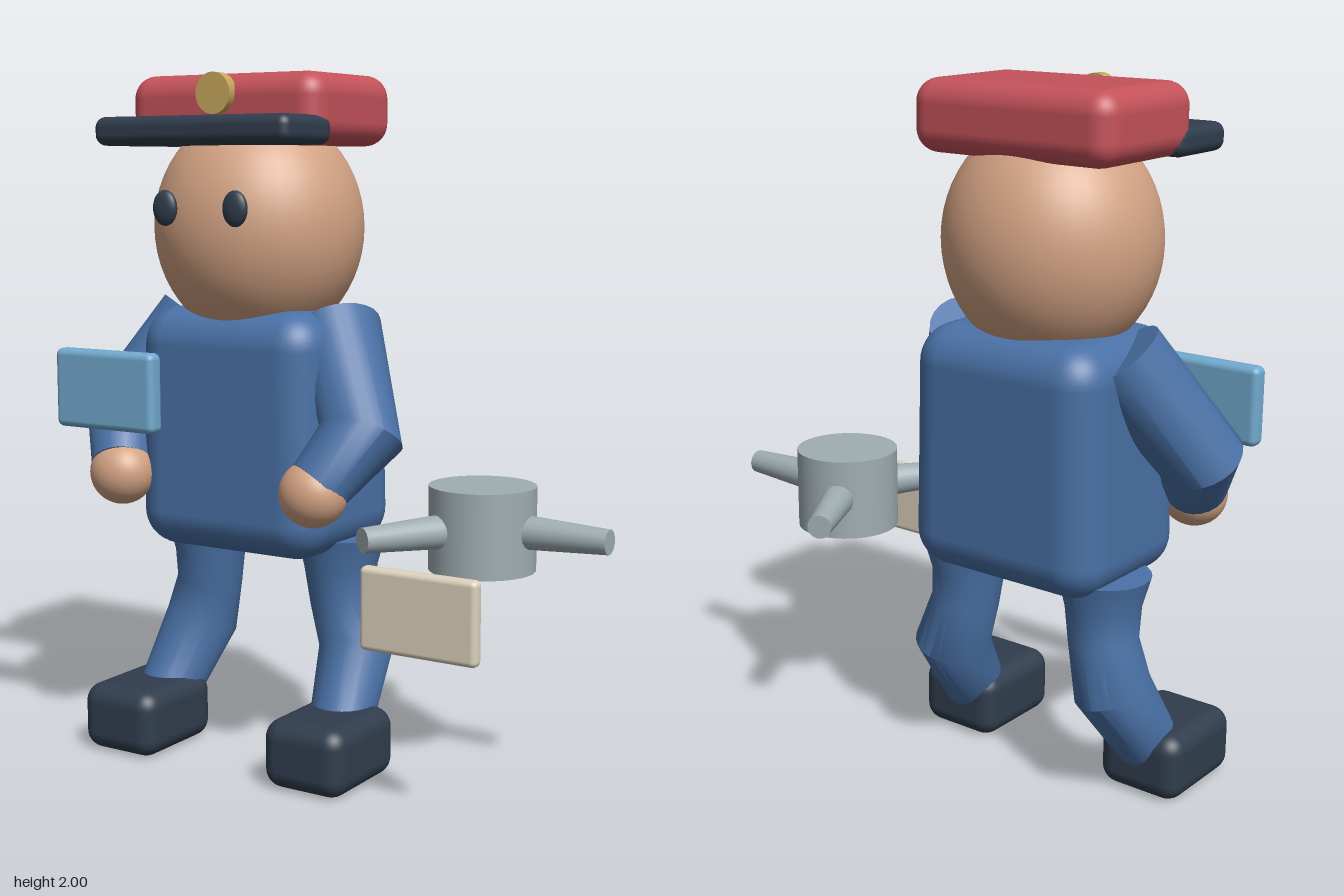
import * as THREE from 'three';
import { toCreasedNormals } from 'three/addons/utils/BufferGeometryUtils.js';
import { RoundedBoxGeometry } from 'three/addons/geometries/RoundedBoxGeometry.js';

const paint = (name, color) => {
  const m = new THREE.MeshStandardMaterial({ color });
  m.name = name;
  return m;
};

// Capped limb with round cross-sections along a downward path of [x, y, z, radius]
function limbGeometry(path, sides = 24) {
  const pts = path.map(p => new THREE.Vector3(p[0], p[1], p[2]));
  const pos = [], idx = [];
  const down = new THREE.Vector3(0, -1, 0);
  pts.forEach((p, i) => {
    const ahead = pts[Math.min(i + 1, pts.length - 1)], behind = pts[Math.max(i - 1, 0)];
    const dirA = ahead.clone().sub(p).normalize(), dirB = p.clone().sub(behind).normalize();
    const q = new THREE.Quaternion().setFromUnitVectors(down, dirA.add(dirB).normalize());
    for (let j = 0; j < sides; j++) {
      const a = j / sides * Math.PI * 2;
      const v = new THREE.Vector3(Math.cos(a), 0, Math.sin(a)).multiplyScalar(path[i][3]);
      pos.push(...v.applyQuaternion(q).add(p).toArray());
    }
  });
  const last = (pts.length - 1) * sides, top = pts.length * sides;
  pos.push(...pts[0].toArray(), ...pts[pts.length - 1].toArray());
  for (let j = 0; j < sides; j++) {
    const k = (j + 1) % sides;
    for (let r = 0; r < last; r += sides) {
      idx.push(r + j, r + k, r + sides + j, r + k, r + sides + k, r + sides + j);
    }
    idx.push(top, k, j, top + 1, last + j, last + k);
  }
  const g = new THREE.BufferGeometry();
  g.setAttribute('position', new THREE.Float32BufferAttribute(pos, 3));
  g.setIndex(idx);
  return toCreasedNormals(g, 0.75);
}

export function createModel() {
  const blue = paint('uniform blue', 0x4a71a6);
  const skin = paint('skin', 0xd2a283);
  const red = paint('cap red', 0xc4525a);
  const dark = paint('dark navy', 0x303d4d);
  const gold = paint('gold', 0xc8a85c);
  const sky = paint('card blue', 0x72aacf);
  const cream = paint('cream', 0xdcd2bd);
  const grey = paint('metal grey', 0x9fadb2);

  const model = new THREE.Group();
  model.name = 'officerWithRotor';
  const figure = new THREE.Group();
  figure.name = 'figure';
  figure.position.x = -0.275;
  model.add(figure);

  const add = (parent, name, geo, mat, x = 0, y = 0, z = 0) => {
    const m = new THREE.Mesh(geo, mat);
    m.name = name;
    m.position.set(x, y, z);
    parent.add(m);
    return m;
  };
  const box = (w, h, d, r) => new RoundedBoxGeometry(w, h, d, 5, r);
  const ball = (rx, ry, rz) => new THREE.SphereGeometry(1, 40, 28).scale(rx, ry, rz);

  // Torso, slightly narrower at the shoulders
  const torso = box(0.62, 0.71, 0.495, 0.11);
  const tp = torso.attributes.position;
  for (let i = 0; i < tp.count; i++) tp.setX(i, tp.getX(i) * (1 - 0.08 * tp.getY(i)));
  add(figure, 'torso', torso, blue, 0, 0.985, 0.012);

  // Head and cap
  add(figure, 'head', ball(0.31, 0.34, 0.295), skin, 0, 1.57, 0.035);
  add(figure, 'capCrown', box(0.65, 0.2, 0.425, 0.065), red, 0, 1.9, 0.022);
  add(figure, 'capBrim', box(0.66, 0.08, 0.235, 0.03), dark, 0, 1.84, 0.268);
  const badge = new THREE.CylinderGeometry(0.058, 0.058, 0.035, 32).rotateX(Math.PI / 2);
  add(figure, 'capBadge', badge, gold, 0, 1.943, 0.242);

  // Paired parts
  for (const [s, side] of [[1, 'left'], [-1, 'right']]) {
    add(figure, side + 'Eye', ball(0.04, 0.05, 0.02), dark, s * 0.12, 1.627, 0.324);
    add(figure, side + 'Arm', limbGeometry([
      [s * 0.25, 1.285, 0.005, 0.125],
      [s * 0.42, 1.0, 0.155, 0.12],
      [s * 0.345, 0.87, 0.26, 0.09],
    ]), blue);
    add(figure, side + 'Hand', ball(0.098, 0.095, 0.09), skin, s * 0.336, 0.85, 0.27);
    add(figure, side + 'Leg', limbGeometry([
      [s * 0.24, 0.675, -0.03, 0.132],
      [s * 0.238, 0.58, -0.03, 0.108],
      [s * 0.245, 0.48, -0.035, 0.1],
      [s * 0.285, 0.345, -0.045, 0.112],
      [s * 0.315, 0.14, 0.095, 0.092],
    ]), blue);
    add(figure, side + 'Boot', box(0.265, 0.2, 0.325, 0.055), dark, s * 0.328, 0.1, 0.178);
  }

  // Held card and floating panel
  add(model, 'card', box(0.356, 0.23, 0.056, 0.02), sky, -0.582, 1.105, 0.362);
  add(model, 'panel', box(0.352, 0.23, 0.042, 0.016), cream, 0.441, 0.575, 0.344);

  // Three-bladed rotor
  const rotor = new THREE.Group();
  rotor.name = 'rotor';
  rotor.position.set(0.42, 0.74, -0.05);
  model.add(rotor);
  add(rotor, 'rotorHub', new THREE.CylinderGeometry(0.152, 0.152, 0.24, 40), grey);
  for (let i = 0; i < 3; i++) {
    const blade = new THREE.CylinderGeometry(0.035, 0.055, 0.385, 24)
      .translate(0, 0.1925, 0).rotateZ(-Math.PI / 2);
    add(rotor, 'rotorBlade', blade, grey).rotation.y = i * Math.PI * 2 / 3;
  }
  return model;
}
